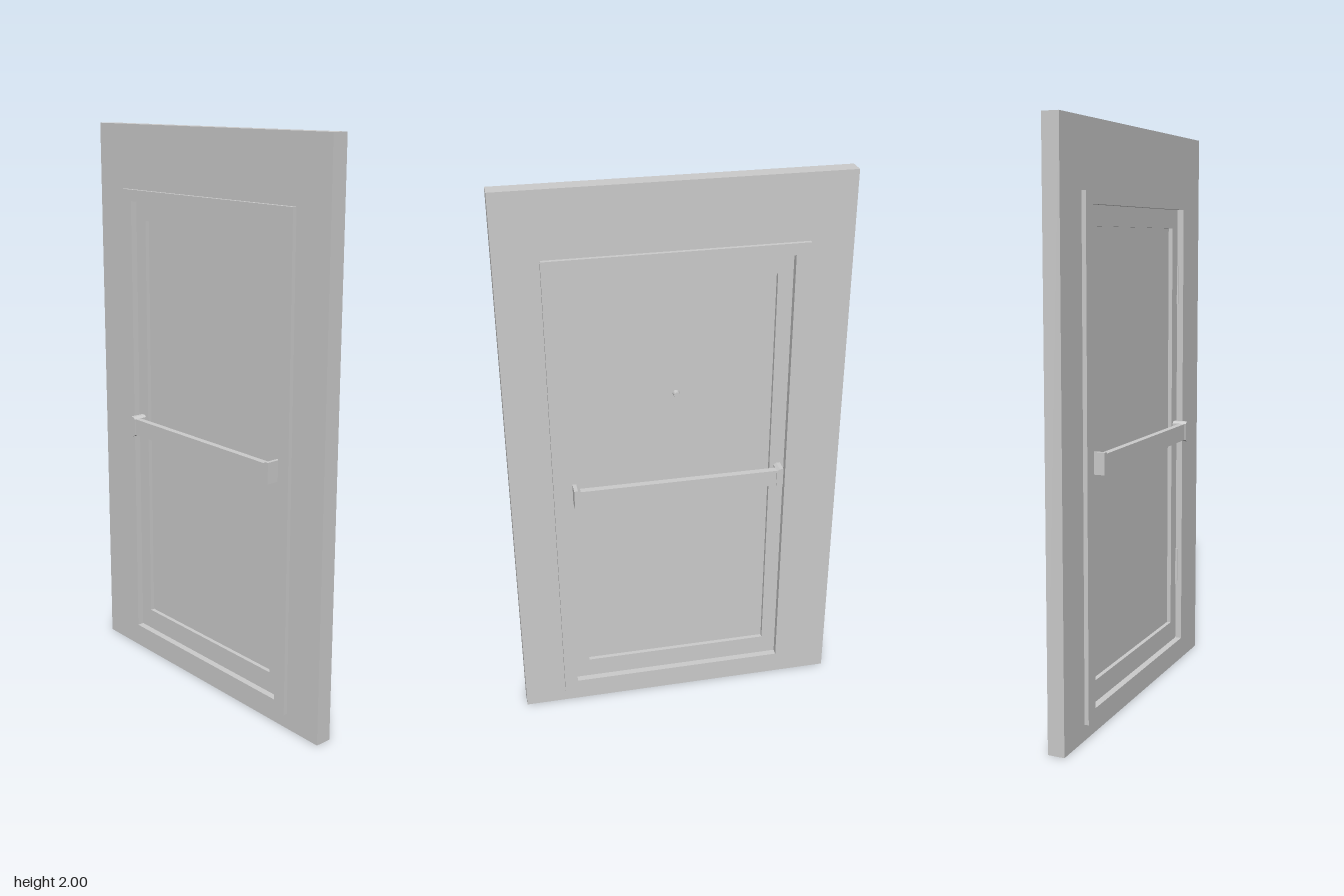
import * as THREE from 'three';

const material = new THREE.MeshStandardMaterial({ color: 0xcccccc, flatShading: true });

function add(parent, name, geometry, x = 0, y = 0, z = 0) {
  const mesh = new THREE.Mesh(geometry, material);
  mesh.name = name;
  mesh.position.set(x, y, z);
  parent.add(mesh);
  return mesh;
}

// Box given by its limits on each axis
function box(parent, name, [x0, x1], [y0, y1], [z0, z1]) {
  return add(parent, name, new THREE.BoxGeometry(x1 - x0, y1 - y0, z1 - z0),
    (x0 + x1) / 2, (y0 + y1) / 2, (z0 + z1) / 2);
}

const corners = ([x0, x1, y0, y1]) =>
  [[x0, y0], [x1, y0], [x1, y1], [x0, y1]].map(([x, y]) => new THREE.Vector2(x, y));

// Rectangular ring between two outlines, from z0 to z1
function ring(parent, name, outer, inner, z0, z1) {
  const shape = new THREE.Shape(corners(outer));
  shape.holes.push(new THREE.Path(corners(inner)));
  return add(parent, name, new THREE.ExtrudeGeometry(shape, { depth: z1 - z0, bevelEnabled: false }), 0, 0, z0);
}

// Push bar: a long rail held between two blocks with chamfered inner ends
function pushBar(name) {
  const bar = new THREE.Group();
  bar.name = name;
  box(bar, 'pushRail', [-0.355, 0.355], [0.884, 0.944], [0.046, 0.069]);
  for (const side of [-1, 1]) {
    const profile = new THREE.Shape([
      [0.371, 0.877], [0.371, 0.951], [0.358, 0.951], [0.348, 0.944], [0.348, 0.884], [0.358, 0.877],
    ].map(([x, y]) => new THREE.Vector2(side * x, y)));
    add(bar, 'barEndBlock',
      new THREE.ExtrudeGeometry(profile, { depth: 0.054, bevelEnabled: false }), 0, 0, 0.019);
  }
  return bar;
}

export function createModel() {
  const model = new THREE.Group();
  model.name = 'doorInWall';

  const frameOutline = [-0.438, 0.436, 0.055, 1.775];
  const leafOutline = [-0.388, 0.388, 0.095, 1.735];
  const panelOutline = [-0.336, 0.338, 0.17, 1.668];

  // Wall, door frame and leaf
  ring(model, 'wall', [-0.585, 0.583, 0, 2], frameOutline, -0.035, 0.024);
  ring(model, 'doorFrame', frameOutline, leafOutline, -0.049, 0.039);

  const door = new THREE.Group();
  door.name = 'door';
  model.add(door);
  ring(door, 'leafBorder', leafOutline, panelOutline, -0.025, 0.015);
  box(door, 'leafPanel', [-0.336, 0.338], [0.17, 1.668], [-0.01, 0]);

  // Push bars on both faces, turned about the mid-plane of the door
  const frontBar = pushBar('frontPushBar');
  frontBar.position.z = -0.005;
  const backBar = pushBar('backPushBar');
  backBar.rotation.y = Math.PI;
  backBar.position.set(-0.003, 0, 0);
  door.add(frontBar, backBar);

  // Spyhole on the back
  const spyhole = add(door, 'spyhole', new THREE.CylinderGeometry(0.01, 0.012, 0.018, 16), 0, 1.26, -0.018);
  spyhole.rotation.x = -Math.PI / 2;

  // Hinge knuckles in the joint between leaf and frame
  for (const y of [0.38, 1.46]) {
    add(door, 'hinge', new THREE.CylinderGeometry(0.005, 0.005, 0.14, 12), 0.388, y, 0.017);
  }

  return model;
}
